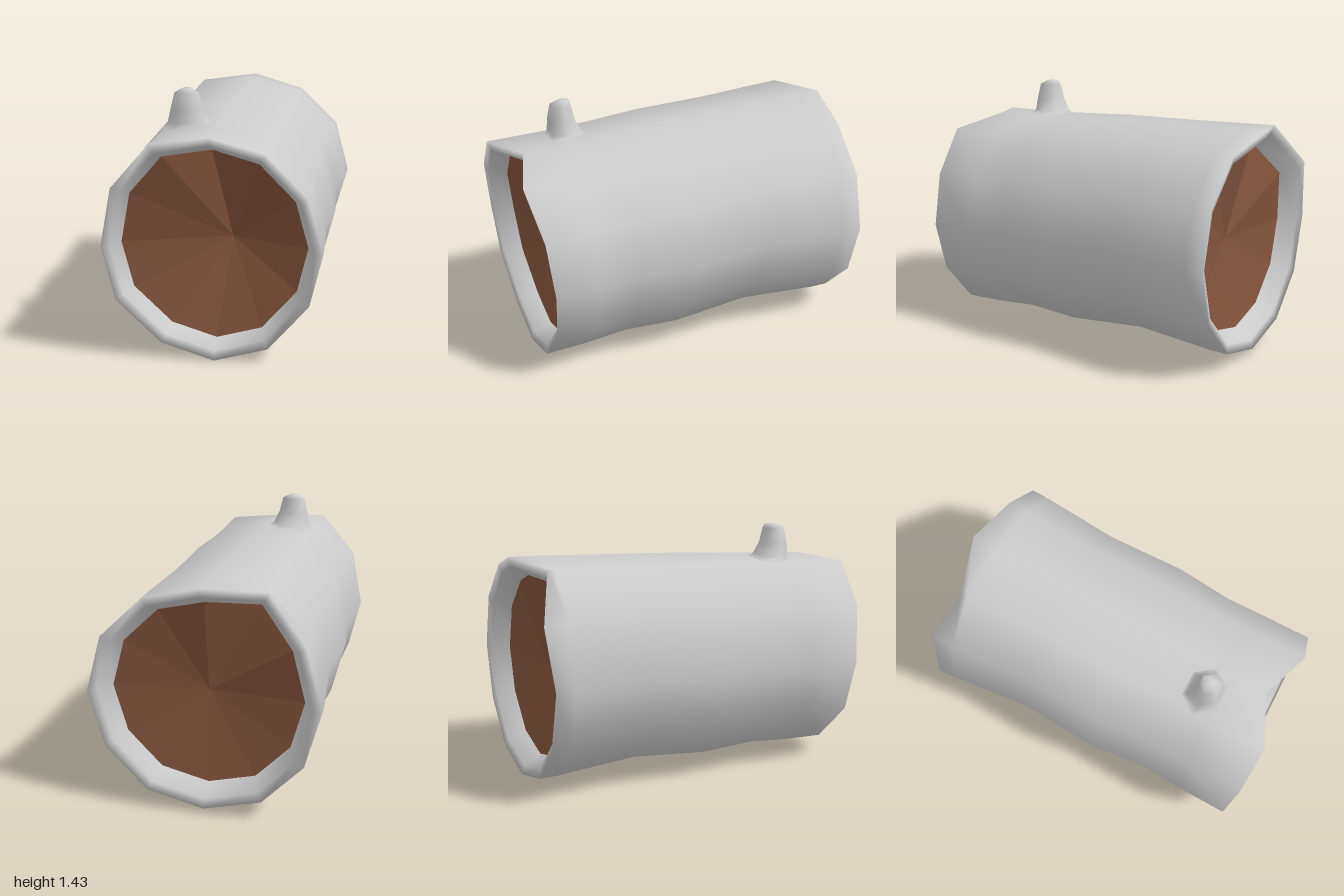
import * as THREE from 'three';

const grey = new THREE.MeshStandardMaterial({ color: 0xcccccc });
const brown = new THREE.MeshStandardMaterial({ color: 0x84543d, flatShading: true });

// Skin a list of closed rings with smooth normals.
function loft(rings) {
  const n = rings[0].length, index = [];
  for (let r = 0; r < rings.length - 1; r++) {
    for (let i = 0; i < n; i++) {
      const j = (i + 1) % n, a = r * n + i, b = r * n + j;
      index.push(a, a + n, b, b, a + n, b + n);
    }
  }
  const g = new THREE.BufferGeometry();
  g.setAttribute('position', new THREE.Float32BufferAttribute(rings.flat(2), 3));
  g.setIndex(index);
  g.computeVertexNormals();
  return g;
}

// Fan from a ring to a sunken centre.
function fan(ring, centre, facing) {
  const g = new THREE.BufferGeometry(), index = [], n = ring.length;
  for (let i = 0; i < n; i++) {
    const j = (i + 1) % n;
    if (facing > 0) index.push(n, i, j);
    else index.push(n, j, i);
  }
  g.setAttribute('position', new THREE.Float32BufferAttribute([...ring, centre].flat(), 3));
  g.setIndex(index);
  g.computeVertexNormals();
  return g;
}

// Shrink a ring about a centre and move it along z.
const inset = (ring, cx, cy, k, dz) =>
  ring.map(([x, y, z]) => [cx + (x - cx) * k, cy + (y - cy) * k, z + dz]);

export function createModel() {
  const group = new THREE.Group();
  const add = (name, geometry, material) => {
    const mesh = new THREE.Mesh(geometry, material);
    mesh.name = name;
    group.add(mesh);
  };

  // Jagged cut edges, counterclockwise from +x
  const front = [
    [0.58, 0.62, 0.91], [0.5, 0.92, 0.93], [0.28, 1.16, 0.97], [-0.03, 1.22, 0.87],
    [-0.32, 1.2, 1], [-0.53, 0.96, 0.98], [-0.6, 0.63, 0.94], [-0.53, 0.33, 0.92],
    [-0.29, 0.09, 0.9], [0, 0, 0.9], [0.29, 0.08, 0.9], [0.51, 0.33, 0.9],
  ];
  const back = [
    [0.64, 0.67, -0.96], [0.555, 0.99, -0.96], [0.32, 1.22, -0.96], [0, 1.31, -1],
    [-0.34, 1.275, -0.89], [-0.56, 1.03, -0.99], [-0.64, 0.67, -0.96], [-0.55, 0.345, -0.96],
    [-0.32, 0.11, -0.96], [0, 0.03, -0.96], [0.32, 0.11, -0.96], [0.55, 0.35, -0.96],
  ];

  // Uneven rings along the trunk: z, width factor, bottom y, top y
  const { lerp, mapLinear } = THREE.MathUtils;
  const middle = [
    [0.65, 0.98, 0.01, 1.23], [0.41, 0.95, 0.03, 1.247], [0.08, 0.995, 0.02, 1.268],
    [-0.38, 0.94, 0.06, 1.288], [-0.85, 0.995, 0.03, 1.308],
  ].map(([z, kx, bottom, top]) => {
    const t = (0.95 - z) / 1.91;
    return front.map(([x, y], i) => [
      lerp(x, back[i][0], t) * kx,
      mapLinear(lerp(y, back[i][1], t), 0.03 * t, 1.22 + 0.09 * t, bottom, top),
      z,
    ]);
  });

  // Bark with a rounded lip turned in at each end
  const frontInner = inset(front, -0.01, 0.62, 0.855, -0.12);
  const backInner = inset(back, 0, 0.67, 0.83, 0.115);
  add('bark', loft([
    frontInner, inset(front, -0.01, 0.62, 0.92, -0.015), front,
    ...middle,
    back, inset(back, 0, 0.67, 0.92, 0.015), backInner,
  ]), grey);

  // Sunken cut wood
  add('frontCutWood', fan(frontInner, [0.07, 0.63, 0.635], 1), brown);
  add('backCutWood', fan(backInner, [0.01, 0.66, -0.765], -1), brown);

  // Branch stub: y, centre x, centre z, half width, half depth, sideways tilt
  const stub = [
    [1.22, -0.18, 0.565, 0.15, 0.127, 0.08], [1.25, -0.185, 0.575, 0.115, 0.1, 0.04],
    [1.32, -0.19, 0.59, 0.09, 0.08, 0], [1.41, -0.19, 0.59, 0.068, 0.06, 0],
    [1.432, -0.19, 0.575, 0.03, 0.04, 0], [1.434, -0.19, 0.575, 0.001, 0.001, 0],
  ].map(([y, cx, cz, rx, rz, tilt]) => Array.from({ length: 6 }, (_, i) => {
    const a = i * Math.PI / 3, dx = rx * Math.cos(a);
    return [cx + dx, y + dx * tilt, cz + rz * Math.sin(a)];
  }));
  const stubGeometry = loft(stub);
  // Its foot takes the trunk's normals so it grows smoothly out of the bark
  stub[0].forEach(([x, y], i) => {
    const n = new THREE.Vector3(x, y - 0.63, 0).normalize();
    stubGeometry.attributes.normal.setXYZ(i, n.x, n.y, n.z);
  });
  add('branchStub', stubGeometry, grey);

  return group;
}
